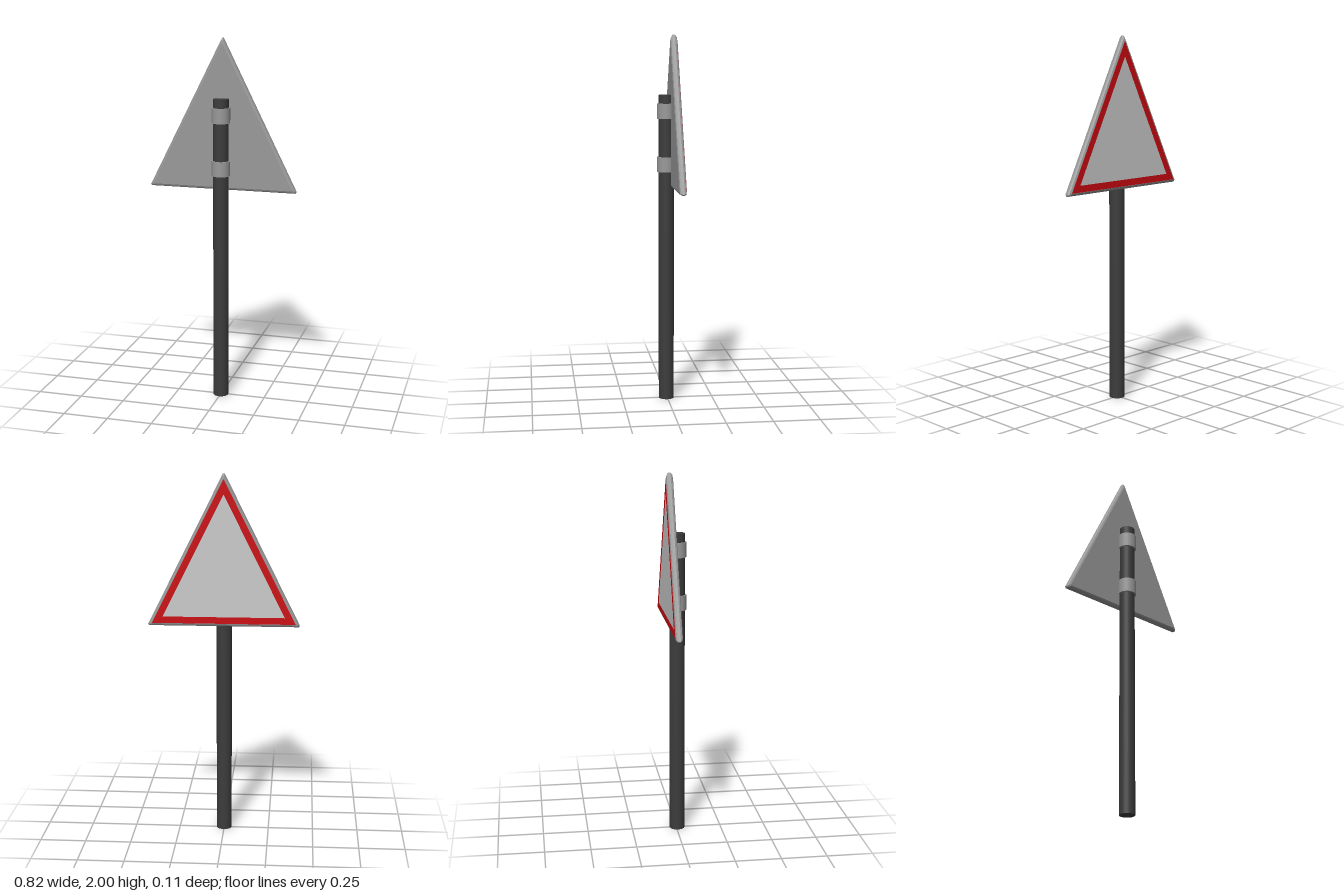
import * as THREE from 'three';

const SIN = Math.sin(Math.atan(0.5)); // half angle of the top corner
const PLATE_Z = -0.036;
const POLE_Z = 0.005;

const paint = (color) => new THREE.MeshStandardMaterial({ color });

// Corners of the sign triangle moved inwards by d, counter-clockwise from the front
function triangle(d) {
  const base = 1.18 + d;
  const apex = 2.007 - d / SIN;
  const half = (apex - base) / 2;
  return [
    new THREE.Vector2(-half, base),
    new THREE.Vector2(half, base),
    new THREE.Vector2(0, apex),
  ];
}

// The same triangle with each corner cut off by t along both edges
function trimmed(d, t) {
  const c = triangle(d);
  return c.flatMap((p, i) => [c[(i + 2) % 3], c[(i + 1) % 3]].map((q) =>
    p.clone().add(q.clone().sub(p).setLength(t))));
}

// Plate with a rounded rim, lofted through inset outlines from back to front
function plateGeometry() {
  const rim = [[0.014, -0.019], [0.005, -0.015], [0, -0.006],
    [0, 0.006], [0.005, 0.015], [0.014, 0.019]];
  const pos = [];
  const idx = [];
  const n = 6;
  for (const [d, z] of rim) {
    for (const p of trimmed(d, 0.008)) pos.push(p.x, p.y, z);
  }
  for (let k = 0; k < rim.length - 1; k++) {
    for (let i = 0; i < n; i++) {
      const a = k * n + i;
      const b = k * n + (i + 1) % n;
      idx.push(a, b, b + n, a, b + n, a + n);
    }
  }
  const front = (rim.length - 1) * n;
  for (let i = 1; i < n - 1; i++) {
    idx.push(0, i + 1, i);
    idx.push(front, front + i, front + i + 1);
  }
  const g = new THREE.BufferGeometry();
  g.setAttribute('position', new THREE.Float32BufferAttribute(pos, 3));
  g.setIndex(idx);
  const flat = g.toNonIndexed();
  flat.computeVertexNormals();
  return flat;
}

export function createModel() {
  const group = new THREE.Group();
  const grey = paint(0x999999);

  function add(name, geometry, material, y, z) {
    const mesh = new THREE.Mesh(geometry, material);
    mesh.name = name;
    mesh.position.set(0, y, z);
    group.add(mesh);
  }

  // Pole
  add('pole', new THREE.CylinderGeometry(0.042, 0.042, 1.68, 24), paint(0x3c3c3c), 0.84, POLE_Z);

  // Clamps holding the plate to the pole
  for (const [name, y] of [['upperClamp', 1.593], ['lowerClamp', 1.305]]) {
    add(name, new THREE.CylinderGeometry(0.05, 0.05, 0.082, 24), grey, y, POLE_Z);
  }

  // Sign plate
  add('signPlate', plateGeometry(), grey, 0, PLATE_Z);

  // Red border and pale field on the back-facing side
  const border = new THREE.Shape(triangle(0.016));
  border.holes.push(new THREE.Path(triangle(0.052)));
  const thin = { depth: 0.002, bevelEnabled: false };
  add('signBorder', new THREE.ExtrudeGeometry(border, thin), paint(0xcc0a10), 0, -0.056);
  add('signField', new THREE.ExtrudeGeometry(new THREE.Shape(triangle(0.052)), thin),
    paint(0xcccccc), 0, -0.056);

  return group;
}
